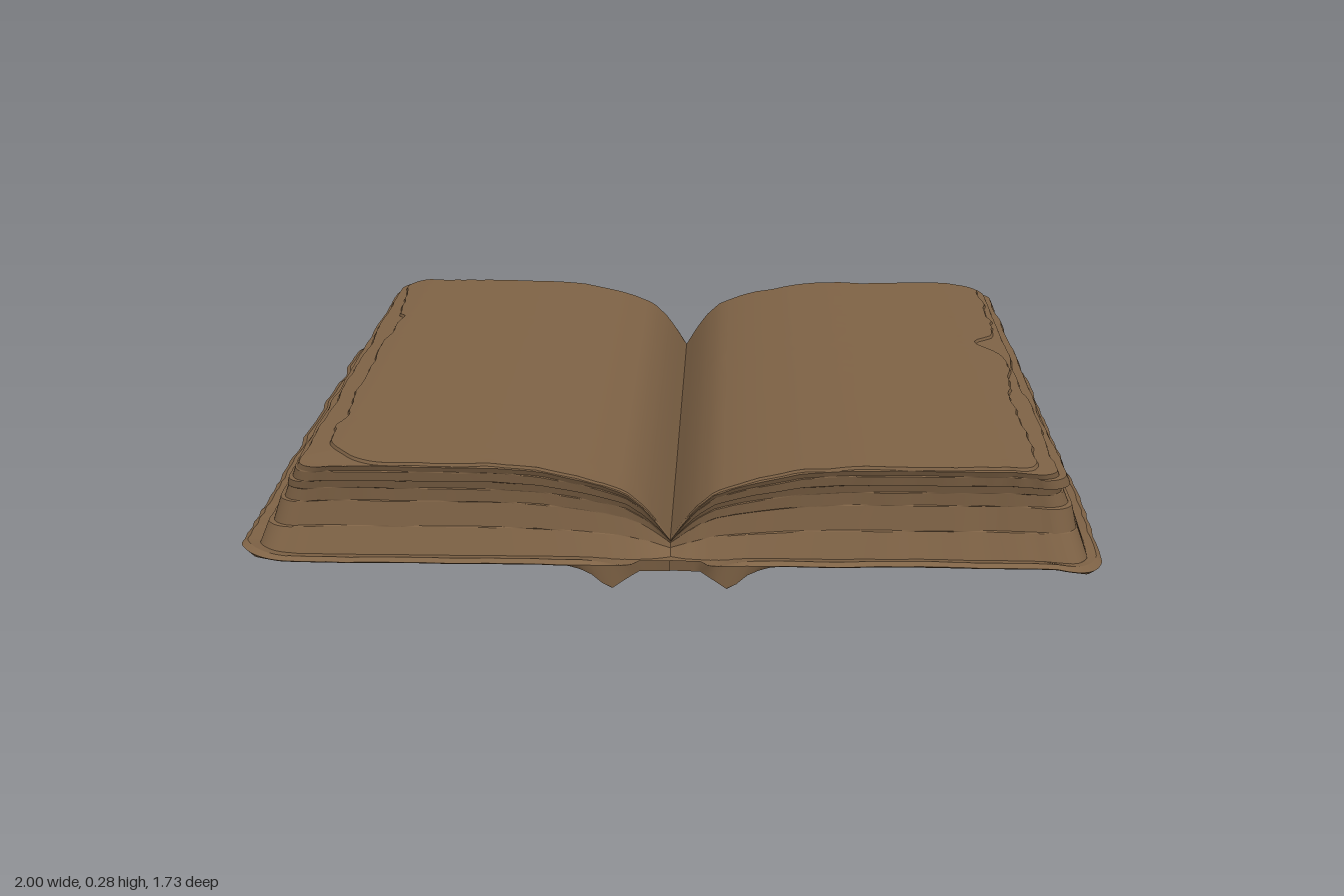
import * as THREE from 'three';

const leather = new THREE.MeshStandardMaterial({ color: 0x7f6346 });
leather.name = 'aged brown';

const { smoothstep } = THREE.MathUtils;
const M = 44, N = 100;

// Smooth repeatable noise in 0..1
const hash = (n) => { const s = Math.sin(n * 127.1) * 43758.5453; return s - Math.floor(s); };
function noise(seed, t) {
  const i = Math.floor(t), f = t - i, k = f * f * (3 - 2 * f);
  return hash(seed * 57 + i) * (1 - k) + hash(seed * 57 + i + 1) * k;
}
// Gentle waviness with a few deeper tears
function worn(seed, t, amount) {
  const tear = Math.max(0, noise(seed + 5, t * 5) - 0.7) * 2;
  return amount * (0.4 * noise(seed, t * 9) + 0.25 * noise(seed + 2, t * 24) + tear);
}
const ease = (t) => 0.5 - 0.5 * Math.cos(Math.PI * t);

// Point of a half-book layer: i runs from spine to fore-edge, j from back to front
function layerPoint({ x1, zh, r, rag, seed, inset, notch, height }, i, j) {
  const u = ease(i / M), v = 2 * ease(j / N) - 1;
  const end = zh - inset(u * x1) - worn(seed + (v > 0 ? 11 : 23), u * 1.2, rag * 0.7);
  const z = v * end;
  const t = Math.min(1, Math.max(0, (Math.abs(z) - (end - r)) / r));
  const x = u * (x1 - r * (1 - Math.sqrt(1 - t * t)) - worn(seed, v + 3, rag) - notch(z));
  return [x, height(x, z), z];
}

// Open path round the three free edges of a layer
const rim = [];
for (let i = 0; i < M; i++) rim.push([i, N]);
for (let j = N; j > 0; j--) rim.push([M, j]);
for (let i = M; i >= 0; i--) rim.push([i, 0]);

// Skin: bands between successive layer outlines, plus one full cap facing up or down
function shell(side, layers, cap, capUp) {
  const pos = [], idx = [];
  const put = (layer, i, j) => {
    const [x, y, z] = layerPoint(layer, i, j);
    pos.push(x * side, y, z);
  };
  const quad = (a, b, c, d) => (side > 0 ? idx.push(a, b, c, a, c, d) : idx.push(a, c, b, a, d, c));
  for (let k = 0; k < layers.length - 1; k++) {
    const start = pos.length / 3;
    rim.forEach(([i, j], n) => {
      put(layers[k], i, j);
      put(layers[k + 1], i, j);
      const q = start + 2 * n;
      if (n > 0) quad(q - 2, q, q + 1, q - 1);
    });
  }
  const start = pos.length / 3;
  for (let i = 0; i <= M; i++) for (let j = 0; j <= N; j++) put(cap, i, j);
  for (let i = 0; i < M; i++) for (let j = 0; j < N; j++) {
    const a = start + i * (N + 1) + j, b = a + N + 1;
    if (capUp) quad(a, a + 1, b + 1, b); else quad(a, b, b + 1, a + 1);
  }
  const geo = new THREE.BufferGeometry();
  geo.setAttribute('position', new THREE.Float32BufferAttribute(pos, 3));
  geo.setIndex(idx);
  geo.computeVertexNormals();
  return geo;
}

// Height of the open page, dipping into the gutter
const BASE = 0.045;
const arch = [[0, 0.088], [0.03, 0.135], [0.06, 0.175], [0.1, 0.211], [0.15, 0.231], [0.2, 0.246],
  [0.3, 0.268], [0.4, 0.276], [0.78, 0.277], [1, 0.255]];
function pageTop(x) {
  const n = arch.findIndex((p) => p[0] > x);
  const [xa, ya] = arch[n - 1], [xb, yb] = arch[n];
  return ya + (yb - ya) * (x - xa) / (xb - xa);
}

// Page bundles, two outlines each, bottom to top: [height fraction, right reach, left reach, half depth]
const outlines = [
  [0.00, 0.965, 0.968, 0.828], [0.30, 0.940, 0.945, 0.808],
  [0.31, 0.930, 0.940, 0.806], [0.56, 0.912, 0.928, 0.802],
  [0.57, 0.906, 0.920, 0.802], [0.70, 0.895, 0.908, 0.806],
  [0.71, 0.890, 0.900, 0.806], [0.79, 0.885, 0.900, 0.812],
  [0.80, 0.880, 0.918, 0.820], [0.90, 0.872, 0.908, 0.826],
  [0.91, 0.862, 0.890, 0.824], [0.965, 0.855, 0.885, 0.830],
  [0.97, 0.838, 0.876, 0.828], [1.00, 0.834, 0.872, 0.826],
];

// Torn pocket in the left pages and tears along the uppermost sheets
function pageNotch(side, bundle) {
  if (side > 0 && bundle === 3) return (z) => 0.06 * smoothstep(-z, 0.44, 0.54);
  if (bundle < 6) return () => 0;
  if (side > 0) return (z) => 0.07 * Math.exp(-(((z + 0.2) / 0.07) ** 2)) + 0.025 * smoothstep(z, 0, 0.2);
  return (z) => 0.022 * smoothstep(z, -0.45, -0.42) + 0.1 * smoothstep(z, 0.66, 0.84);
}

function pages(side) {
  const layers = outlines.map(([f, xr, xl, zh], k) => {
    const bundle = Math.floor(k / 2);
    return {
      x1: side > 0 ? xl : xr, zh, r: 0.06, rag: bundle === 6 ? 0.03 : 0.014,
      seed: bundle * 3 + (side > 0 ? 40 : 90),
      inset: (x) => 0.025 * Math.exp(-x / 0.06),
      notch: pageNotch(side, bundle),
      height: (x) => BASE + f * (pageTop(x) - BASE),
    };
  });
  return shell(side, layers, layers[layers.length - 1], true);
}

// Cover board with rolled edges, a narrower spine and a hinge ridge that swells at its ends
function cover(side) {
  const warp = (x, z) => {
    const out = Math.max(0, x - 0.88) / 0.1;
    return side > 0 ? -0.022 * out * smoothstep(Math.abs(z), 0.6, 0.86) : 0.01 * out;
  };
  const ridge = (x, z) => Math.exp(-(((x - 0.135) / 0.03) ** 2)) * (0.01 + 0.022 * smoothstep(Math.abs(z), 0.79, 0.84));
  const bevel = (x, z) => 0.016 * (1 - smoothstep(Math.min(0.985 - x, 0.86 - Math.abs(z)), 0, 0.07)) * smoothstep(x, 0.17, 0.24);
  const underside = (x, z) => 0.022 + 0.008 * smoothstep(x, 0.1, 0.2) + bevel(x, z) - ridge(x, z) + warp(x, z);
  const board = (grow, height) => ({
    x1: 0.998 + grow, zh: 0.862 + grow, r: 0.1, rag: 0.02, seed: side > 0 ? 7 : 19,
    inset: (x) => 0.028 * (1 - smoothstep(x, 0.085, 0.105)), notch: () => 0, height,
  });
  const bottom = board(0, underside);
  const lip = board(0.006, (x, z) => 0.05 + warp(x, z));
  const crest = board(-0.006, (x, z) => 0.058 - 0.013 * (1 - smoothstep(x, 0.08, 0.2)) + warp(x, z));
  const inner = board(-0.075, () => 0.045);
  return shell(side, [bottom, lip, crest, inner], bottom, false);
}

export function createModel() {
  const book = new THREE.Group();
  book.name = 'openBook';
  for (const side of [1, -1]) {
    const half = side > 0 ? 'left' : 'right';
    for (const [part, build] of [['Pages', pages], ['Cover', cover]]) {
      const mesh = new THREE.Mesh(build(side), leather);
      mesh.name = half + part;
      book.add(mesh);
    }
  }
  return book;
}
